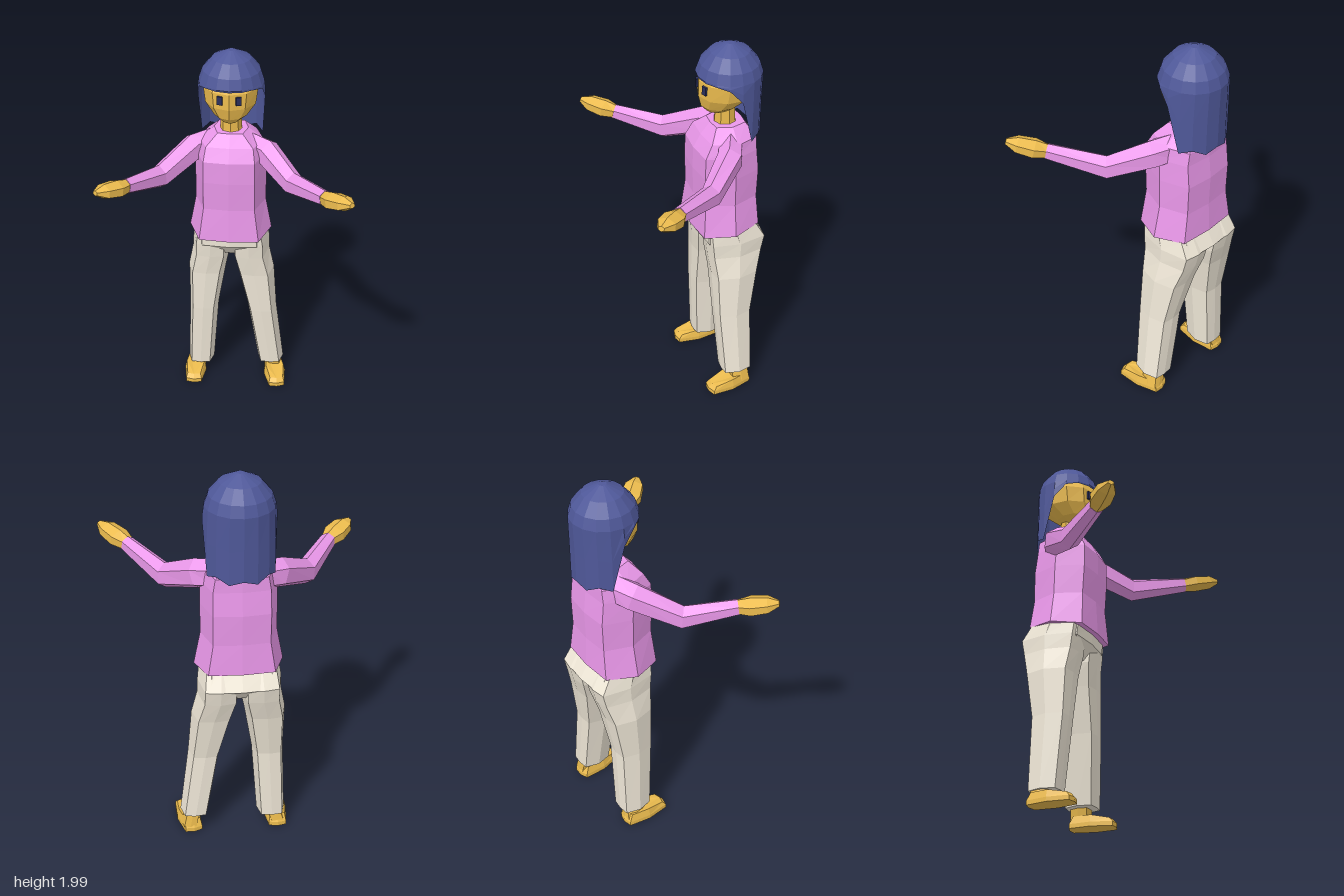
import * as THREE from 'three';

const mat = (color) => new THREE.MeshStandardMaterial({ color, flatShading: true, side: THREE.DoubleSide });
const skin = mat(0xecbc4e), shirt = mat(0xea98ea), cloth = mat(0xf0e8d8), hairMat = mat(0x4f5899), eyeMat = mat(0x2a2f5c);

// Skins a list of equal-length rings of points, with optional end caps
function loft(name, rings, material, caps = true) {
  const pos = [], n = rings[0].length;
  const tri = (...p) => p.forEach((v) => pos.push(v.x, v.y, v.z));
  for (let j = 0; j + 1 < rings.length; j++) {
    for (let i = 0; i < n; i++) {
      const k = (i + 1) % n, lo = rings[j], hi = rings[j + 1];
      tri(lo[i], lo[k], hi[k]);
      tri(lo[i], hi[k], hi[i]);
    }
  }
  if (caps) {
    const first = rings[0], last = rings[rings.length - 1];
    for (let i = 1; i + 1 < n; i++) {
      tri(first[0], first[i + 1], first[i]);
      tri(last[0], last[i], last[i + 1]);
    }
  }
  const geo = new THREE.BufferGeometry();
  geo.setAttribute('position', new THREE.Float32BufferAttribute(pos, 3));
  geo.computeVertexNormals();
  const mesh = new THREE.Mesh(geo, material);
  mesh.name = name;
  return mesh;
}

// Horizontal boxy octagon: centre x, y, z and half sizes
const OCT = [[0, 1], [0.72, 0.92], [1, 0], [0.74, -0.92], [0, -1], [-0.74, -0.92], [-1, 0], [-0.72, 0.92]];
const level = ([x, y, z, rx, rz]) => OCT.map(([u, v]) => new THREE.Vector3(x + u * rx, y, z + v * rz));

// Horizontal regular ring
const circle = (n, y, z, rx, rz) => Array.from({ length: n }, (_, i) => {
  const a = (i / n) * Math.PI * 2;
  return new THREE.Vector3(Math.sin(a) * rx, y, z + Math.cos(a) * rz);
});

// Six-sided rings across a limb path; each stop is [x, y, z, halfWidth, halfHeight]
function limb(stops) {
  const pts = stops.map((s) => new THREE.Vector3(s[0], s[1], s[2]));
  return stops.map((s, j) => {
    const d = pts[Math.min(j + 1, pts.length - 1)].clone().sub(pts[Math.max(j - 1, 0)]).normalize();
    const side = new THREE.Vector3().crossVectors(d, new THREE.Vector3(0, 1, 0)).normalize();
    const up = new THREE.Vector3().crossVectors(side, d);
    return Array.from({ length: 6 }, (_, i) => {
      const a = (i / 6) * Math.PI * 2;
      return pts[j].clone().addScaledVector(side, Math.sin(a) * s[3] * 1.12).addScaledVector(up, Math.cos(a) * s[4]);
    });
  });
}

function arm(side, shoulderZ, elbow, wrist, tip) {
  const g = new THREE.Group();
  g.name = side + 'Arm';
  const s = side === 'left' ? 1 : -1;
  const mix = (t, w, h) => [...wrist.map((v, i) => v + (tip[i] - v) * t), w, h];
  g.add(loft(side + 'Sleeve', limb([
    [s * 0.1, 1.475, shoulderZ - 0.04, 0.06, 0.075],
    [s * 0.19, 1.46, shoulderZ, 0.06, 0.076],
    [...elbow, 0.048, 0.066],
    [...wrist, 0.036, 0.042],
  ]), shirt));
  g.add(loft(side + 'Hand', limb([
    mix(-0.02, 0.034, 0.038), mix(0.3, 0.055, 0.044), mix(0.72, 0.048, 0.038), mix(1, 0.016, 0.014),
  ]), skin));
  return g;
}

function leg(side, thighX, kneeX, cuffX, cuffY, footX, toeOut) {
  const g = new THREE.Group();
  g.name = side + 'Leg';
  const s = side === 'left' ? 1 : -1;
  g.add(loft(side + 'Trouser', [
    [cuffX, cuffY, -0.008, 0.072, 0.08],
    [kneeX, 0.48, 0.004, 0.08, 0.093],
    [thighX, 0.72, -0.012, 0.102, 0.118],
    [s * 0.106, 0.84, -0.022, 0.103, 0.143],
    [s * 0.104, 0.92, -0.026, 0.103, 0.157],
    [s * 0.1, 1.0, 0, 0.094, 0.135],
  ].map(level), cloth));
  g.add(loft(side + 'Ankle', [
    [footX, 0.04, -0.03, 0.042, 0.05], [cuffX, cuffY + 0.05, -0.015, 0.042, 0.05],
  ].map(level), skin));
  // Foot slopes from ankle to a low toe
  const rings = [[0.012, 1], [0.035, 1], [0.075, 0.84]].map(([y, k]) => level([0, y, 0, 0.06 * k, 0.125 * k]));
  rings[2].forEach((p) => { if (p.z > 0.01) p.y -= 0.018; });
  const foot = loft(side + 'Foot', rings, skin);
  foot.position.set(footX, 0, 0.04);
  foot.rotation.y = s * toeOut;
  g.add(foot);
  return g;
}

// Hair cap with a fringe, temple points and a long back curtain
function hair() {
  const hem = [1.835, 1.85, 1.84, 1.82, 1.75, 1.51, 1.53, 1.5, 1.52];
  const n = 16, z = -0.014;
  const dome = [[1.845, 0.168], [1.9, 0.15], [1.96, 0.1], [2.0, 0.02]].map(([y, r]) => circle(n, y, z, r, r));
  const fall = [1, 0.5].map((t) => circle(n, 0, z, 0.174, 0.165).map((p, i) => {
    p.y = 1.845 + (Math.min(hem[Math.min(i, n - i)], 1.835) - 1.845) * t;
    return p;
  }));
  const g = new THREE.Group();
  g.name = 'hair';
  g.add(loft('hairShell', [...fall, ...dome], hairMat, false));
  const crown = new THREE.Mesh(new THREE.CircleGeometry(0.02, n), hairMat);
  crown.name = 'hairCrown';
  crown.rotation.x = -Math.PI / 2;
  crown.position.set(0, 2, z);
  g.add(crown);
  return g;
}

export function createModel() {
  const model = new THREE.Group();
  model.name = 'figure';
  const body = new THREE.Group();
  body.name = 'body';
  body.position.set(0.28, 0, -0.32);
  body.rotation.y = -Math.PI / 4;
  model.add(body);

  // Shirt, its hem dipping at the front, and trouser seat
  const shirtRings = [
    [0, 0.987, 0.012, 0.22, 0.164], [0, 1.16, 0.01, 0.187, 0.152], [0, 1.32, 0.012, 0.188, 0.158],
    [0, 1.44, 0.018, 0.185, 0.15], [0, 1.51, 0, 0.17, 0.13], [0, 1.57, -0.005, 0.09, 0.085],
  ].map(level);
  shirtRings[0].forEach((p) => { p.y -= p.z * 0.08; });
  body.add(loft('shirtBody', shirtRings, shirt));
  body.add(loft('trouserSeat', [
    [0, 0.82, -0.02, 0.08, 0.05], [0, 0.85, -0.02, 0.15, 0.105],
    [0, 0.92, -0.022, 0.206, 0.165], [0, 1.01, 0.005, 0.195, 0.14],
  ].map(level), cloth));

  body.add(leg('left', 0.135, 0.175, 0.228, 0.115, 0.255, 0.16));
  body.add(leg('right', -0.13, -0.148, -0.168, 0.09, -0.2, 0));
  body.add(arm('left', 0.05, [0.336, 1.37, 0.216], [0.506, 1.43, 0.456], [0.636, 1.48, 0.601]));
  body.add(arm('right', 0.015, [-0.354, 1.365, 0.184], [-0.502, 1.42, 0.403], [-0.629, 1.455, 0.544]));

  // Neck, head and eyes
  body.add(loft('neck', [[1.53, 0.072], [1.575, 0.056], [1.7, 0.052]].map(([y, r]) => circle(8, y, 0, r, r)), skin));
  body.add(loft('head', [
    [1.64, 0.04, 0.045, 0.06], [1.675, 0.03, 0.09, 0.102], [1.735, 0.0, 0.136, 0.148],
    [1.82, -0.005, 0.148, 0.152], [1.92, -0.01, 0.11, 0.11],
  ].map(([y, z, rx, rz]) => circle(10, y, z, rx, rz)), skin));
  for (const s of [-1, 1]) {
    const eye = new THREE.Mesh(new THREE.BoxGeometry(0.028, 0.045, 0.016), eyeMat);
    eye.name = s > 0 ? 'leftEye' : 'rightEye';
    eye.position.set(s * 0.047, 1.785, 0.134);
    eye.rotation.y = s * 0.3;
    body.add(eye);
  }
  body.add(hair());
  return model;
}
